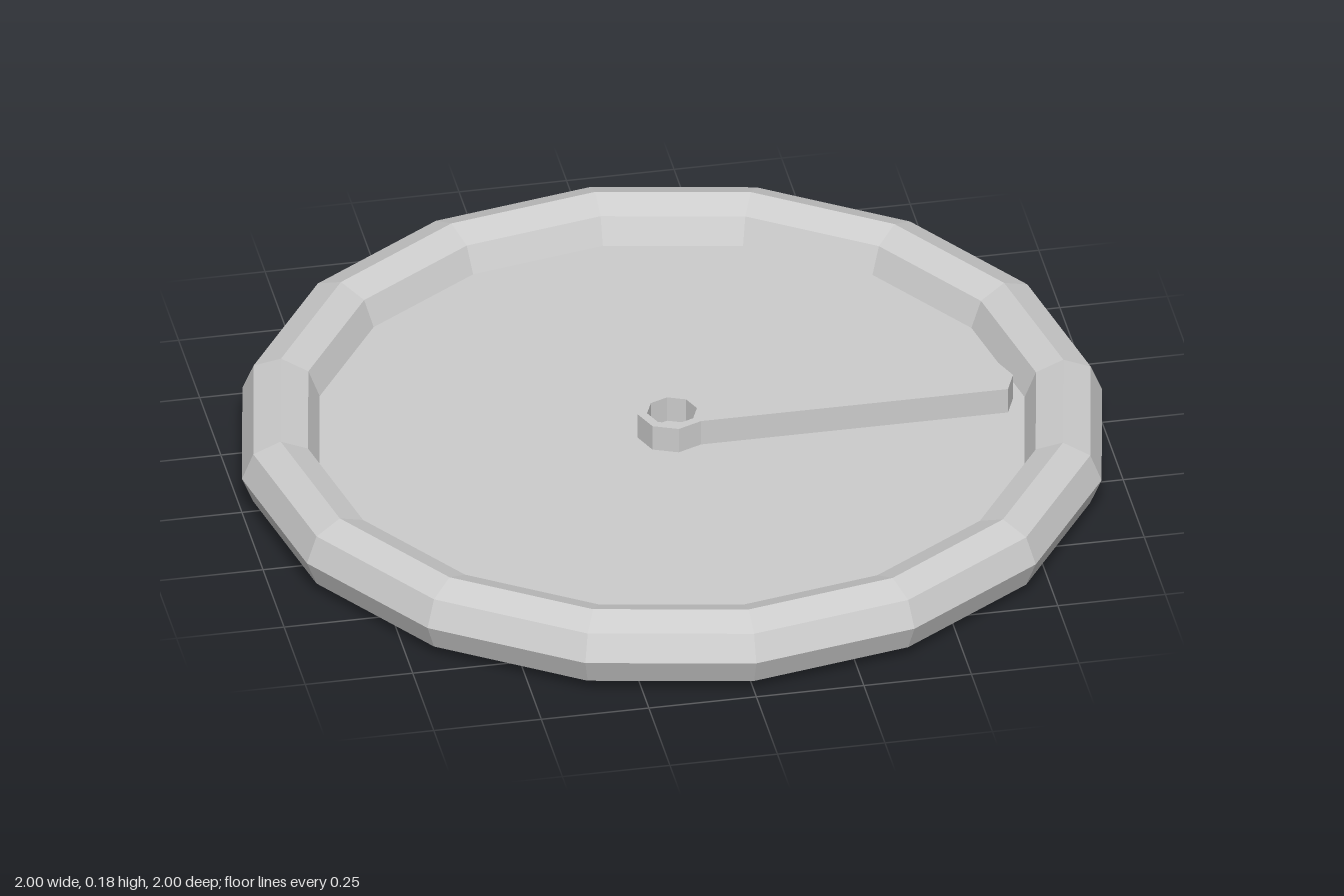
import * as THREE from 'three';

export function createModel() {
  const group = new THREE.Group();
  const mid = 0.09;
  const material = new THREE.MeshStandardMaterial({ color: 0xcccccc, flatShading: true });
  const thin = new THREE.MeshStandardMaterial({ color: 0xcccccc, flatShading: true, side: THREE.DoubleSide });

  const add = (name, geometry, mat, y) => {
    const mesh = new THREE.Mesh(geometry.rotateX(-Math.PI / 2), mat);
    mesh.name = name;
    mesh.position.y = y;
    group.add(mesh);
  };

  // Faceted rim with an octagonal section
  add('rim', new THREE.TorusGeometry(0.91, 0.09, 8, 16), material, mid);

  // Flat face, level with the middle of the rim
  add('face', new THREE.CircleGeometry(0.82, 16), thin, mid);

  // Single hand: octagonal hub and a straight arm with a blunt point
  const corner = (i, r) => new THREE.Vector2(Math.cos(i * Math.PI / 4) * r, Math.sin(i * Math.PI / 4) * r);
  const outline = [];
  for (let i = 1; i <= 7; i++) outline.push(corner(i, 0.08));
  outline.push(new THREE.Vector2(0.77, -0.057), new THREE.Vector2(0.793, 0), new THREE.Vector2(0.77, 0.057));
  const hand = new THREE.Shape(outline);
  const hole = [];
  for (let i = 8; i > 0; i--) hole.push(corner(i, 0.058));
  hand.holes.push(new THREE.Path(hole));
  add('hand', new THREE.ExtrudeGeometry(hand, { depth: 0.063, bevelEnabled: false }), material, mid);

  return group;
}
